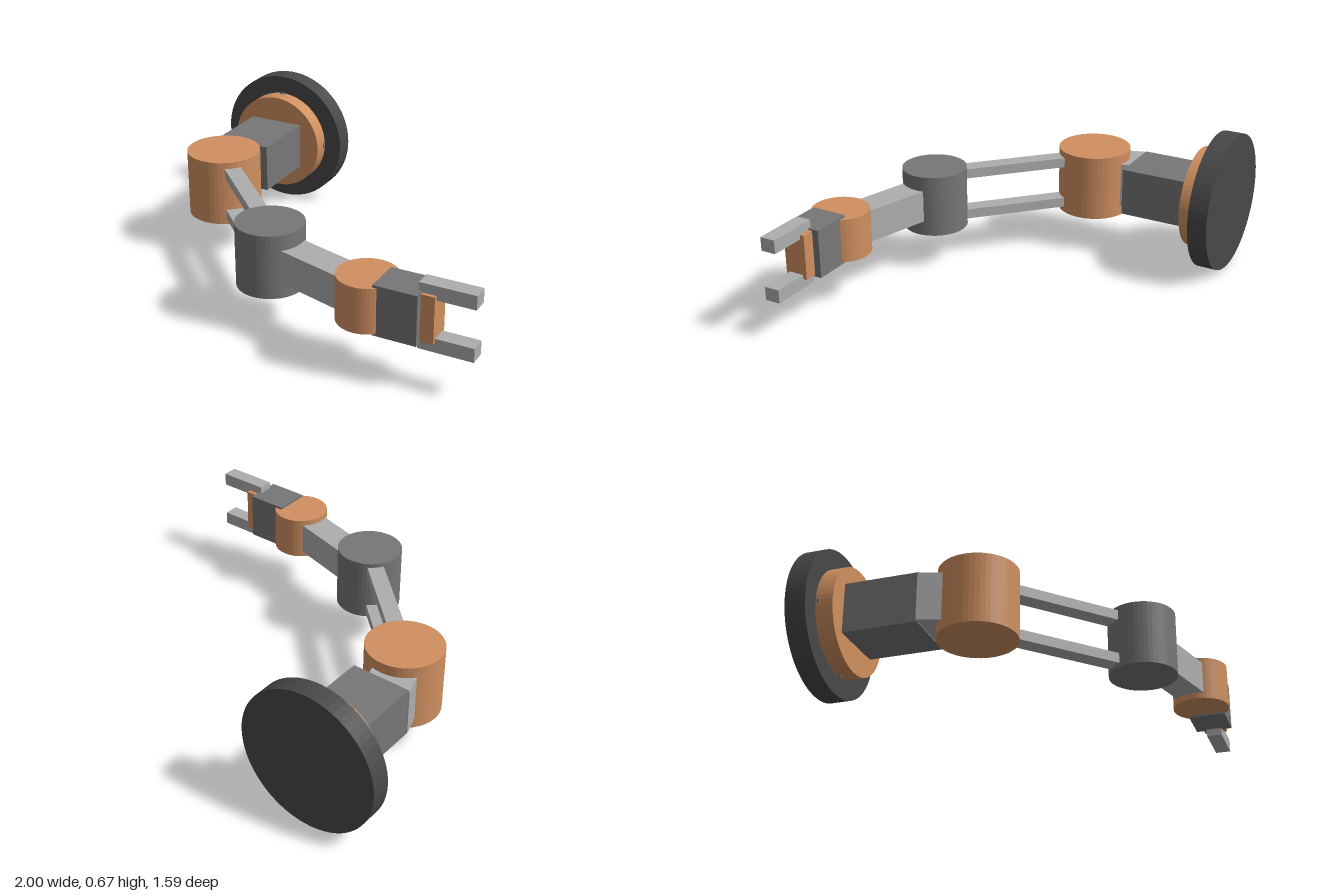
import * as THREE from 'three';

export function createModel() {
  const arm = new THREE.Group();
  arm.name = 'robotArm';

  const paint = (name, color, flatShading = true) => {
    const m = new THREE.MeshStandardMaterial({ color, flatShading });
    m.name = name;
    return m;
  };
  const orange = paint('orange', 0xd09060);
  const lightGrey = paint('lightGrey', 0xaeaeae);
  const grey = paint('grey', 0x777777);
  const darkGrey = paint('darkGrey', 0x484848);
  const steel = paint('steel', 0x7d868f);

  const add = (name, geometry, material, x, y, z) => {
    const mesh = new THREE.Mesh(geometry, material);
    mesh.name = name;
    mesh.position.set(x, y, z);
    arm.add(mesh);
    return mesh;
  };

  // Box given by its min and max on each axis
  const box = (name, material, [x0, x1], [y0, y1], [z0, z1]) =>
    add(name, new THREE.BoxGeometry(x1 - x0, y1 - y0, z1 - z0), material,
      (x0 + x1) / 2, (y0 + y1) / 2, (z0 + z1) / 2);

  // Upright joint drum
  const drum = (name, material, [x, z], r, y0, y1) =>
    add(name, new THREE.CylinderGeometry(r, r, y1 - y0, 48), material, x, (y0 + y1) / 2, z);

  // Disc whose axis runs along z
  const disc = (name, material, x, y, r, z0, z1, sides = 64) => {
    const g = new THREE.CylinderGeometry(r, r, z1 - z0, sides).rotateX(Math.PI / 2);
    return add(name, g, material, x, y, (z0 + z1) / 2);
  };

  // Level beam between two points on the ground plan
  const beam = (name, material, [ax, az], [bx, bz], width, y0, y1) => {
    const length = Math.hypot(bx - ax, bz - az);
    const mesh = add(name, new THREE.BoxGeometry(length, y1 - y0, width), material,
      (ax + bx) / 2, (y0 + y1) / 2, (az + bz) / 2);
    mesh.rotation.y = -Math.atan2(bz - az, bx - ax);
  };

  const shoulder = [-0.643, -0.072];
  const elbow = [-0.047, 0.502];
  const wrist = [0.503, 0.66];
  const baseX = -0.665, midY = 0.339;

  // Wall mount
  disc('mountDisc', darkGrey, baseX, midY, 0.336, -0.8, -0.705);
  disc('turntable', orange, baseX, midY, 0.245, -0.705, -0.625);
  for (let i = 0; i < 4; i++) {
    const a = i * Math.PI / 2;
    disc('bolt', steel, baseX + Math.cos(a) * 0.232, midY + Math.sin(a) * 0.232,
      0.019, -0.697, -0.687, 16);
  }
  box('mountBlock', grey, [-0.808, -0.525], [0.222, 0.456], [-0.625, -0.282]);

  // Shoulder and its neck
  beam('shoulderNeck', lightGrey, [-0.718, -0.315], shoulder, 0.2, 0.228, 0.452);
  drum('shoulderJoint', orange, shoulder, 0.178, 0.18, 0.502);

  // Twin upper arm bars
  for (const y of [0.209, 0.423]) {
    beam('upperArmBar', lightGrey, shoulder, elbow, 0.08, y, y + 0.048);
  }

  // Elbow, forearm and wrist
  drum('elbowJoint', grey, elbow, 0.156, 0.19, 0.491);
  beam('forearm', lightGrey, elbow, wrist, 0.143, 0.263, 0.419);
  drum('wristJoint', orange, wrist, 0.134, 0.235, 0.445);

  // Gripper
  box('gripperBlock', grey, [0.573, 0.77], [0.225, 0.456], [0.585, 0.76]);
  box('gripperPlate', orange, [0.77, 0.83], [0.234, 0.449], [0.617, 0.727]);
  for (const y of [0.19, 0.428]) {
    box('finger', lightGrey, [0.753, 1], [y, y + 0.064], [0.637, 0.711]);
  }

  // Rest on y = 0
  arm.children.forEach((part) => { part.position.y -= 0.003; });
  return arm;
}
